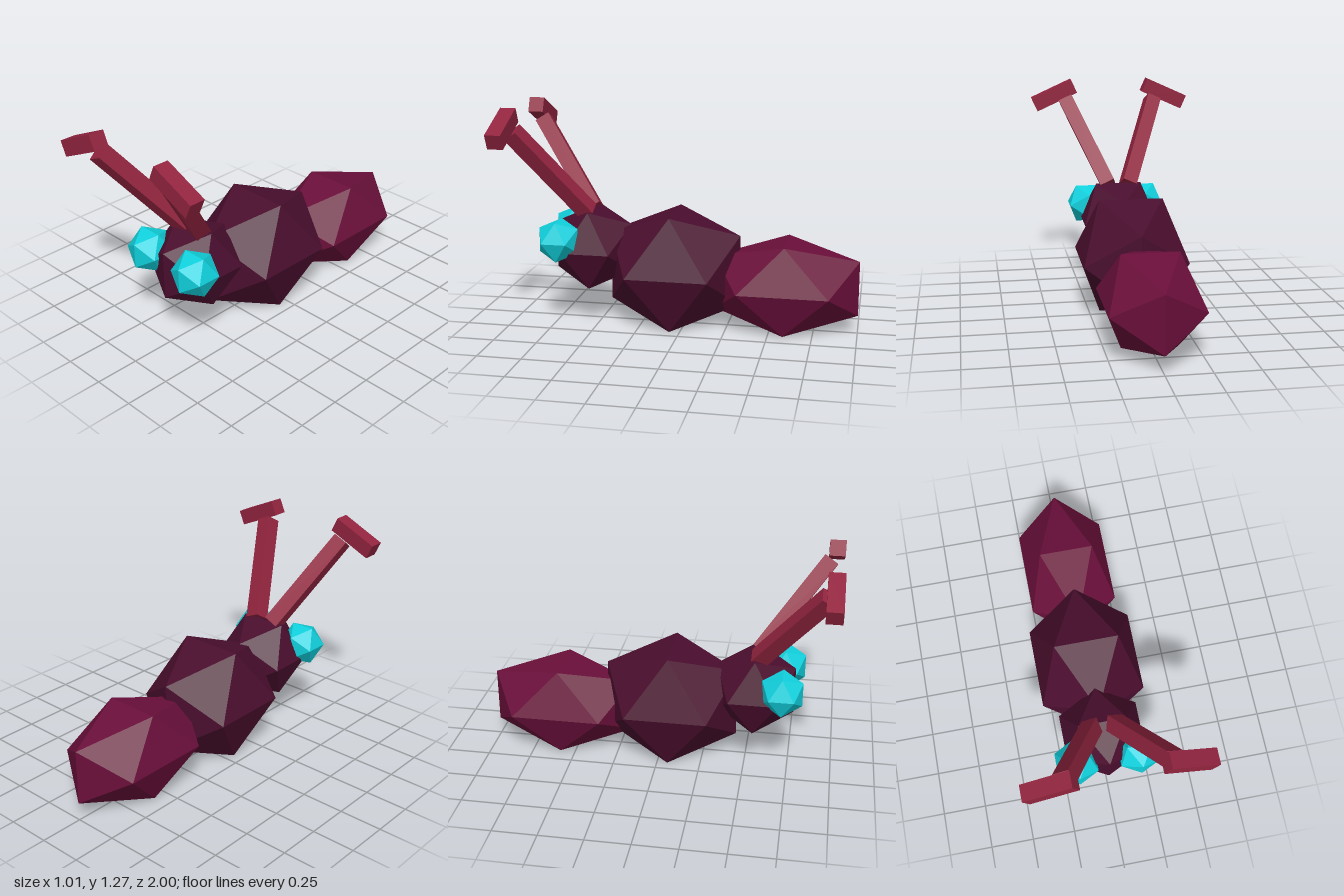
import * as THREE from 'three';

const mat = (name, color) => {
  const m = new THREE.MeshStandardMaterial({ color });
  m.name = name;
  m.flatShading = true;
  return m;
};

export function createModel() {
  const model = new THREE.Group();
  model.name = 'insect';

  const dark = mat('dark plum', 0x4a0e2e);
  const plum = mat('bright plum', 0x6a0f3a);
  const red = mat('crimson', 0x92243f);
  const cyan = mat('cyan', 0x10d0dc);

  // Faceted body lump: an icosahedron stretched to the given radii
  const lump = (name, material, radii, position) => {
    const mesh = new THREE.Mesh(new THREE.IcosahedronGeometry(1, 0).scale(...radii), material);
    mesh.name = name;
    mesh.position.set(...position);
    model.add(mesh);
  };

  lump('abdomen', plum, [0.303, 0.303, 0.487], [0, 0.267, -0.586]);
  lump('thorax', dark, [0.356, 0.392, 0.447], [0, 0.338, 0.06]);
  lump('head', dark, [0.265, 0.265, 0.265], [0, 0.446, 0.544]);

  for (const [side, s] of [['left', 1], ['right', -1]]) {
    lump(side + 'Eye', cyan, [0.134, 0.134, 0.134], [s * 0.179, 0.515, 0.705]);

    // Antenna: a stalk leaning out and forward, with a crossbar at its end
    const antenna = new THREE.Group();
    antenna.name = side + 'Antenna';

    const lean = -s * 0.425;
    const stalk = new THREE.Mesh(new THREE.BoxGeometry(0.09, 0.648, 0.09), red);
    stalk.name = 'stalk';
    stalk.rotation.set(0.605, 0, lean, 'ZYX');
    stalk.position.set(s * 0.172, 0.905, 0.741);

    const tip = new THREE.Mesh(new THREE.BoxGeometry(0.28, 0.09, 0.09), red);
    tip.name = 'tip';
    tip.rotation.z = lean;
    tip.position.set(s * 0.358, 1.18, 0.955);

    antenna.add(stalk, tip);
    model.add(antenna);
  }

  return model;
}
